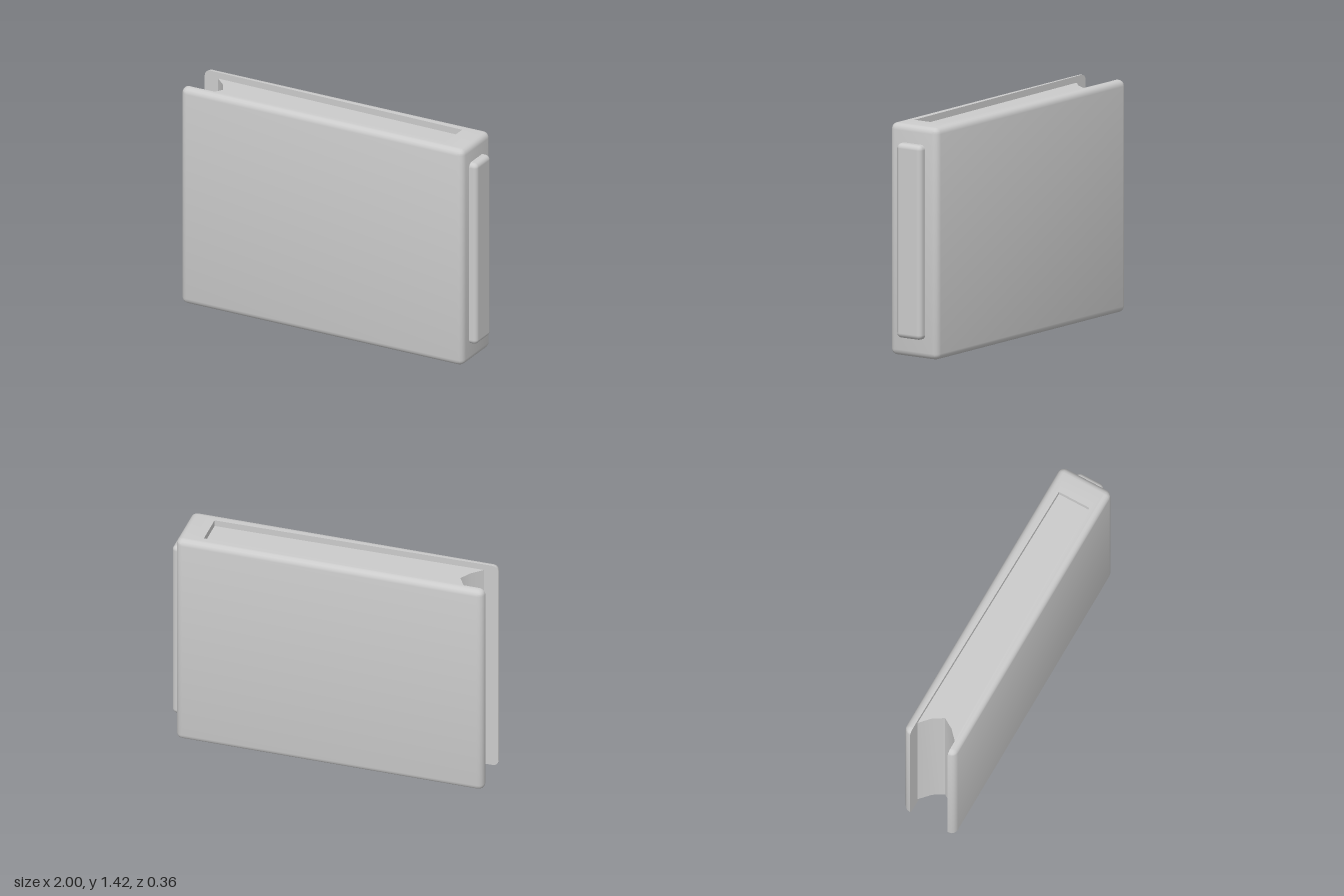
import * as THREE from 'three';
import { toCreasedNormals } from 'three/addons/utils/BufferGeometryUtils.js';
import { RoundedBoxGeometry } from 'three/addons/geometries/RoundedBoxGeometry.js';

const HEIGHT = 1.425, LEFT = -1, RIGHT = 0.95, HALF = 0.178;
const CORNER = 0.042, BEVEL = 0.038, STEPS = 4;
const RECESS = 0.04; // pages sit this far inside the cover's top and bottom

// U-shaped plan of the cover; only its outer edge is inset, the slot stays put
function coverOutline(inset) {
  const pts = [new THREE.Vector2(LEFT + inset, -0.13)];
  const cx = [LEFT + CORNER, RIGHT - CORNER], cy = HALF - CORNER, r = CORNER - inset;
  [[cx[0], -cy, 2], [cx[1], -cy, 3], [cx[1], cy, 0], [cx[0], cy, 1]].forEach(([x, y, quarter]) => {
    for (let i = 0; i <= STEPS; i++) {
      const a = (quarter + i / STEPS) * Math.PI / 2;
      pts.push(new THREE.Vector2(x + r * Math.cos(a), y + r * Math.sin(a)));
    }
  });
  [[LEFT + inset, 0.13], [-0.91, 0.13], [0.79, 0.105], [0.79, -0.105], [-0.91, -0.13]]
    .forEach(([x, y]) => pts.push(new THREE.Vector2(x, y)));
  return pts;
}

// Stack the outlines from bottom to top with rounded rims, then cap both ends
function coverGeometry() {
  const levels = [];
  for (let k = 0; k <= STEPS; k++) {
    const a = k / STEPS * Math.PI / 2;
    levels.push({ y: BEVEL * (1 - Math.cos(a)), inset: BEVEL * (1 - Math.sin(a)) });
  }
  levels.push(...levels.map(l => ({ y: HEIGHT - l.y, inset: l.inset })).reverse());

  const positions = [], index = [];
  const n = coverOutline(0).length;
  levels.forEach(({ y, inset }) => coverOutline(inset).forEach(p => positions.push(p.x, y, -p.y)));
  for (let j = 0; j < levels.length - 1; j++) {
    for (let i = 0; i < n; i++) {
      const a = j * n + i, b = j * n + (i + 1) % n;
      index.push(a, b, b + n, a, b + n, a + n);
    }
  }
  const top = (levels.length - 1) * n;
  THREE.ShapeUtils.triangulateShape(coverOutline(BEVEL), []).forEach(([a, b, c]) => {
    index.push(top + a, top + b, top + c, a, c, b);
  });
  const geo = new THREE.BufferGeometry();
  geo.setAttribute('position', new THREE.Float32BufferAttribute(positions, 3));
  geo.setIndex(index);
  return toCreasedNormals(geo, 0.5);
}

// Page block with a hollow fore edge, its sides slightly sunk into the cover
function pagesGeometry() {
  const shape = new THREE.Shape([
    [-0.91, -0.132], [0.8, -0.107], [0.8, 0.107], [-0.91, 0.132],
    [-0.84, 0.067], [-0.8, 0], [-0.84, -0.067],
  ].map(([x, y]) => new THREE.Vector2(x, y)));
  const geo = new THREE.ExtrudeGeometry(shape, { depth: HEIGHT - 2 * RECESS, bevelEnabled: false });
  geo.rotateX(-Math.PI / 2).translate(0, RECESS, 0);
  return toCreasedNormals(geo, 0.7);
}

export function createModel() {
  const group = new THREE.Group();
  group.name = 'book';
  const material = new THREE.MeshStandardMaterial({ color: 0xcccccc });
  const add = (name, geometry) => {
    const mesh = new THREE.Mesh(geometry, material);
    mesh.name = name;
    group.add(mesh);
    return mesh;
  };

  add('cover', coverGeometry());
  add('pages', pagesGeometry());

  // Raised panel on the spine
  add('spinePanel', new RoundedBoxGeometry(0.14, 1.195, 0.186, 3, 0.03)).position.set(0.93, 0.718, 0.003);

  return group;
}
